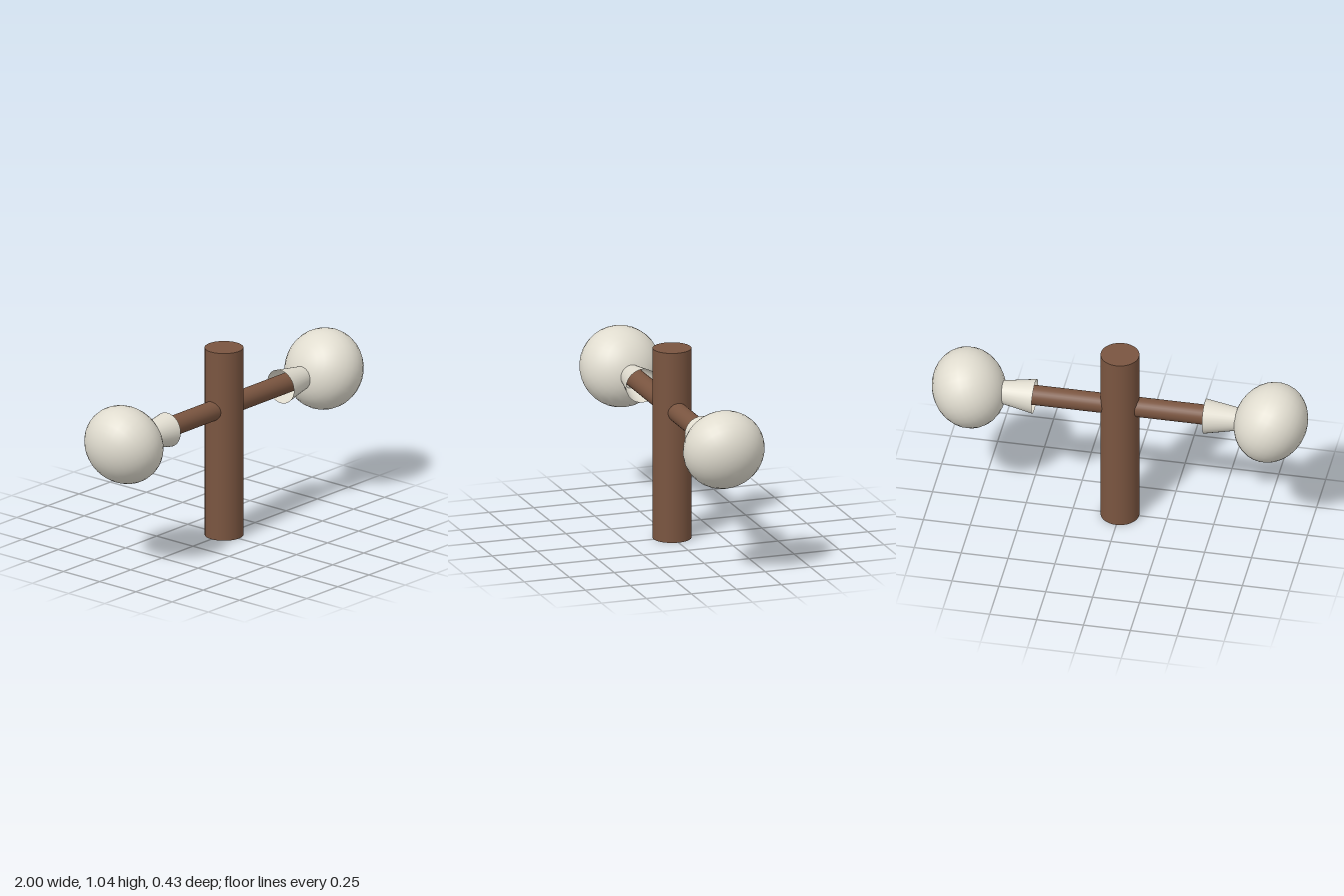
import * as THREE from 'three';

export function createModel() {
  const model = new THREE.Group();
  const wood = new THREE.MeshStandardMaterial({ color: 0x7a5540 });
  const cream = new THREE.MeshStandardMaterial({ color: 0xe0dccf });
  const creamOpen = new THREE.MeshStandardMaterial({ color: 0xe0dccf, side: THREE.DoubleSide });
  const axisY = 0.708;

  function add(parent, name, geometry, material, x, y) {
    const mesh = new THREE.Mesh(geometry, material);
    mesh.name = name;
    mesh.position.set(x, y, 0);
    parent.add(mesh);
    return mesh;
  }

  // Upright post
  add(model, 'post', new THREE.CylinderGeometry(0.102, 0.102, 1.036, 32), wood, 0, 0.518);

  // Horizontal bar, its ends hidden inside the sockets
  add(model, 'crossbar', new THREE.CylinderGeometry(0.053, 0.053, 1.2, 32), wood, 0, axisY)
    .rotation.z = Math.PI / 2;

  for (const side of [1, -1]) {
    const lamp = new THREE.Group();
    lamp.name = side > 0 ? 'leftLamp' : 'rightLamp';

    // Open flared socket, wide mouth towards the post
    add(lamp, 'socket', new THREE.CylinderGeometry(0.058, 0.092, 0.19, 32, 1, true), creamOpen, side * 0.55, 0.702)
      .rotation.z = -side * (Math.PI / 2 - 0.03);

    // Slightly flattened bulb, leaning outwards
    const bulb = add(lamp, 'bulb', new THREE.SphereGeometry(0.217, 32, 16), cream, side * 0.805, axisY);
    bulb.scale.y = 0.875;
    bulb.rotation.z = -side * (Math.PI / 2 + 0.42);

    model.add(lamp);
  }
  return model;
}
